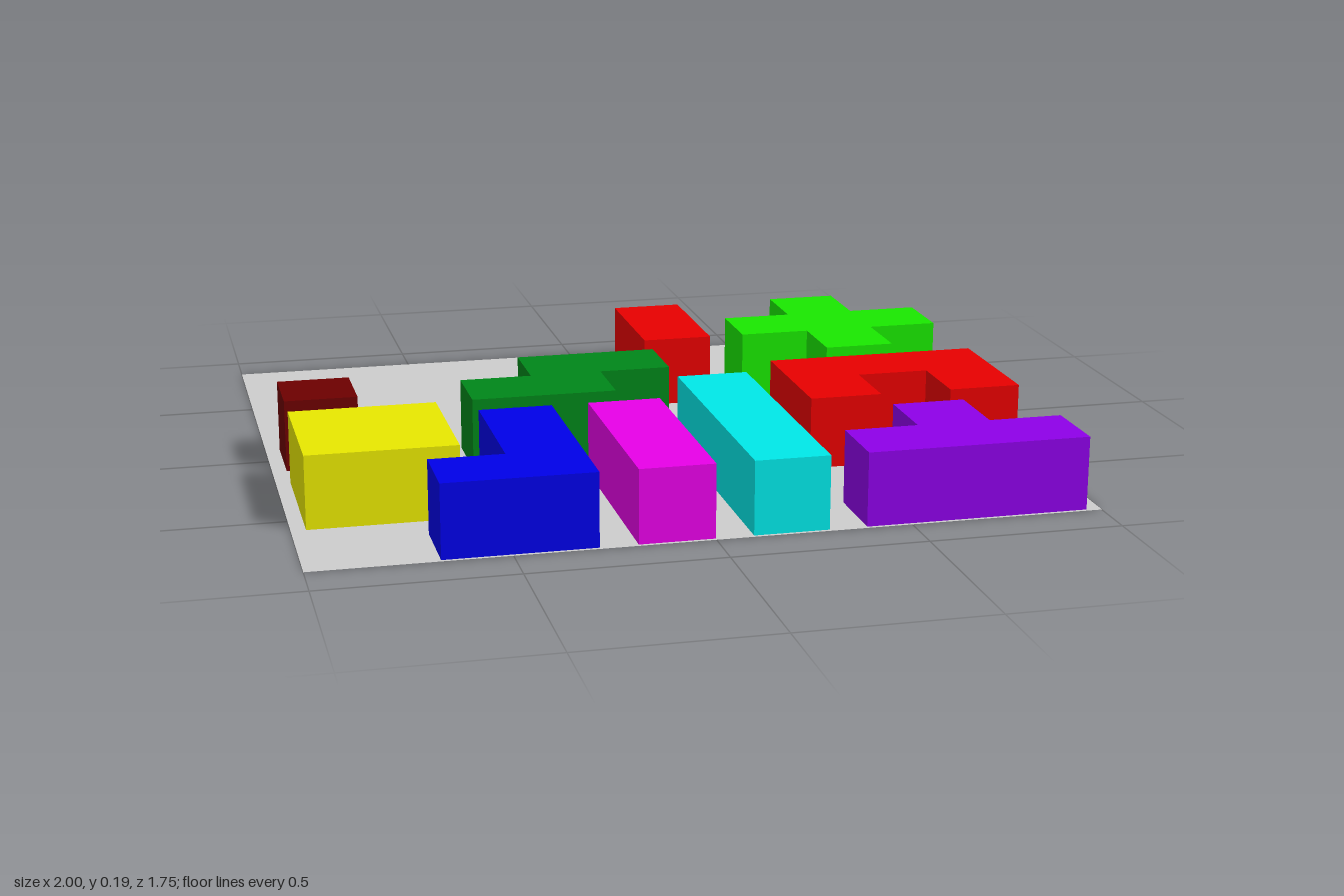
import * as THREE from 'three';

const U = 0.0962; // half a grid cell
const HEIGHT = 0.192;
const BOARD_Y = 0.001; // blocks are set through the thin board, so their undersides show

function material(name, color) {
  const m = new THREE.MeshStandardMaterial({ color });
  m.name = name;
  return m;
}

// Extrudes an outline of [x, z] points, in half cells, upwards
function block(name, mat, outline) {
  const shape = new THREE.Shape(outline.map(([x, z]) => new THREE.Vector2(x * U, -z * U)));
  const geometry = new THREE.ExtrudeGeometry(shape, { depth: HEIGHT, bevelEnabled: false });
  geometry.rotateX(-Math.PI / 2);
  const mesh = new THREE.Mesh(geometry, mat);
  mesh.name = name;
  return mesh;
}

const rect = (x0, z0, x1, z1) => [[x0, z0], [x1, z0], [x1, z1], [x0, z1]];

export function createModel() {
  const group = new THREE.Group();
  group.name = 'blockPuzzle';

  // Flat board
  const grey = material('boardGrey', 0xcccccc);
  grey.side = THREE.DoubleSide;
  const board = new THREE.Mesh(new THREE.PlaneGeometry(2, 1.75).rotateX(-Math.PI / 2), grey);
  board.name = 'board';
  board.position.y = BOARD_Y;
  group.add(board);

  // Puzzle pieces
  const red = material('red', 0xe80000);
  group.add(
    block('singleBlock', material('darkRed', 0x6c0000), rect(-10, -1, -8, 1)),
    block('doubleBlock', red, rect(1, -7, 3, -3)),
    block('squareBlock', material('yellow', 0xe8e800), rect(-10, 2, -6, 6)),
    block('threeBar', material('magenta', 0xe800e8), rect(-2, 3, 0, 9)),
    block('fourBar', material('cyan', 0x00e8e8), rect(1, 1, 3, 9)),
    block('hookBlock', material('blue', 0x0000e8),
      [[-5, 3], [-3, 3], [-3, 9], [-7, 9], [-7, 7], [-5, 7]]),
    block('zigzagBlock', material('darkGreen', 0x008619),
      [[-3, -2], [1, -2], [1, 0], [-1, 0], [-1, 2], [-5, 2], [-5, 0], [-3, 0]]),
    block('archBlock', red,
      [[4, 0], [10, 0], [10, 4], [8, 4], [8, 2], [6, 2], [6, 4], [4, 4]]),
    block('teeBlock', material('purple', 0x8e00e8),
      [[6, 5], [8, 5], [8, 7], [10, 7], [10, 9], [4, 9], [4, 7], [6, 7]]),
    block('crossBlock', material('green', 0x19e800),
      [[6, -7], [8, -7], [8, -5], [10, -5], [10, -3], [8, -3],
        [8, -1], [6, -1], [6, -3], [4, -3], [4, -5], [6, -5]]),
  );
  return group;
}
